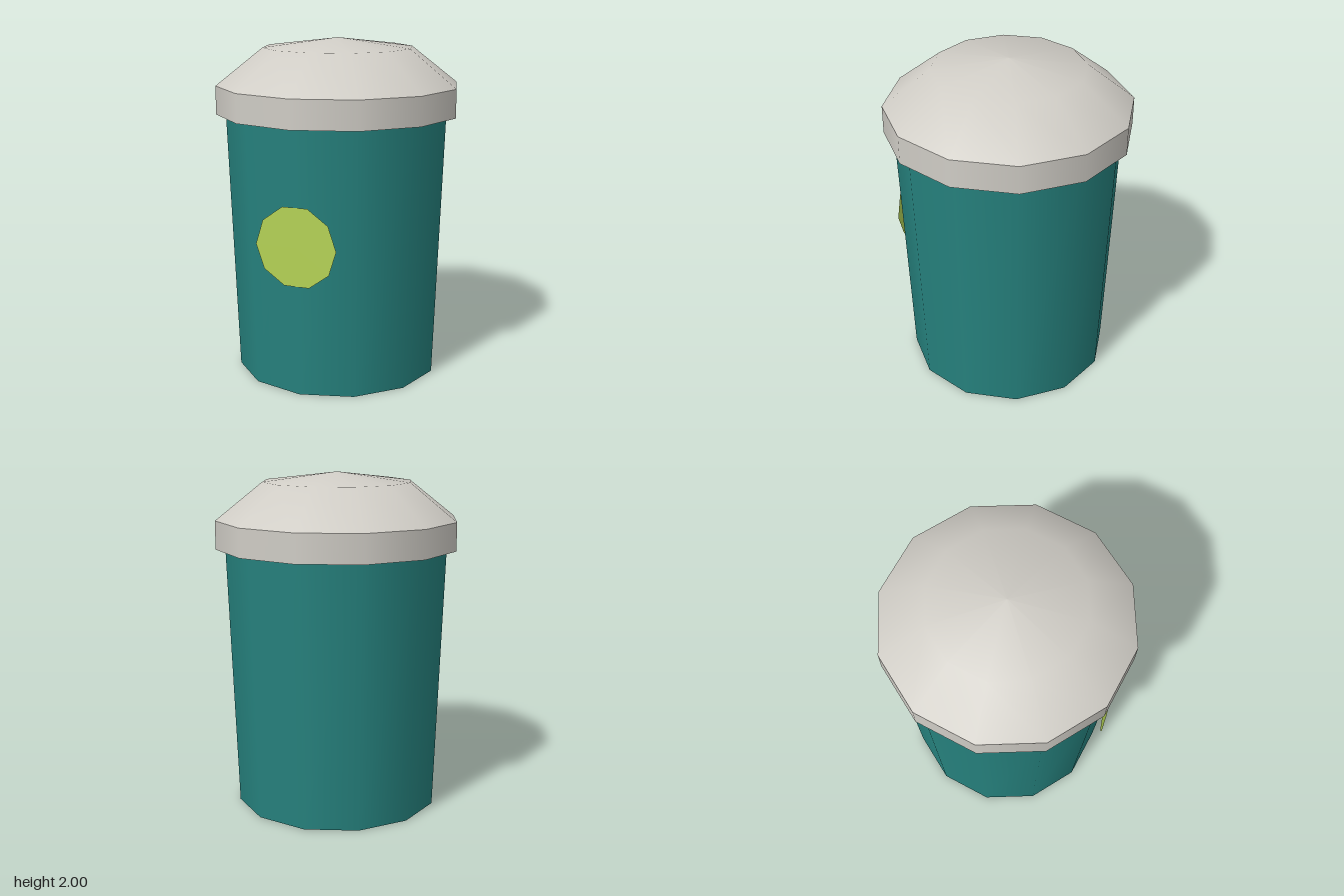
import * as THREE from 'three';

const SIDES = 12;

function material(name, color, side = THREE.FrontSide) {
  const m = new THREE.MeshStandardMaterial({ color, side });
  m.name = name;
  return m;
}

function part(name, geometry, mat) {
  const mesh = new THREE.Mesh(geometry, mat);
  mesh.name = name;
  return mesh;
}

// Revolves a few [radius, height] points around the y axis
function revolve(points) {
  return new THREE.LatheGeometry(points.map(([r, y]) => new THREE.Vector2(r, y)), SIDES);
}

export function createModel() {
  const teal = material('teal', 0x26827e);
  const lidGrey = material('warm grey', 0xd0cdc6, THREE.DoubleSide);
  const dark = material('dark base', 0x2b3033);
  const lime = material('lime', 0xb8d657, THREE.DoubleSide);

  const bottomR = 0.61, topR = 0.665, bodyH = 1.56;
  const model = new THREE.Group();
  model.name = 'bin';

  // Tapered body: side, top cap, dark underside
  const bodyGeometry = new THREE.CylinderGeometry(topR, bottomR, bodyH, SIDES);
  bodyGeometry.translate(0, bodyH / 2, 0);
  model.add(part('body', bodyGeometry, [teal, teal, dark]));

  // Lid: open overhanging rim with a low dome on top
  const lid = new THREE.Group();
  lid.name = 'lid';
  lid.add(part('lidRim', revolve([[0.722, bodyH], [0.722, 1.727]]), lidGrey));
  lid.add(part('lidDome', revolve([[0.722, 1.727], [0.445, 1.945], [0, 2]]), lidGrey));
  model.add(lid);

  // Flat ten-sided badge lying along the front slope of the body
  const badge = part('badge', new THREE.CircleGeometry(0.242, 10), lime);
  const badgeY = 0.89;
  const slope = (topR - bottomR) / bodyH;
  badge.position.set(0, badgeY, bottomR + slope * badgeY + 0.004);
  badge.rotation.x = Math.atan(slope);
  model.add(badge);

  return model;
}
